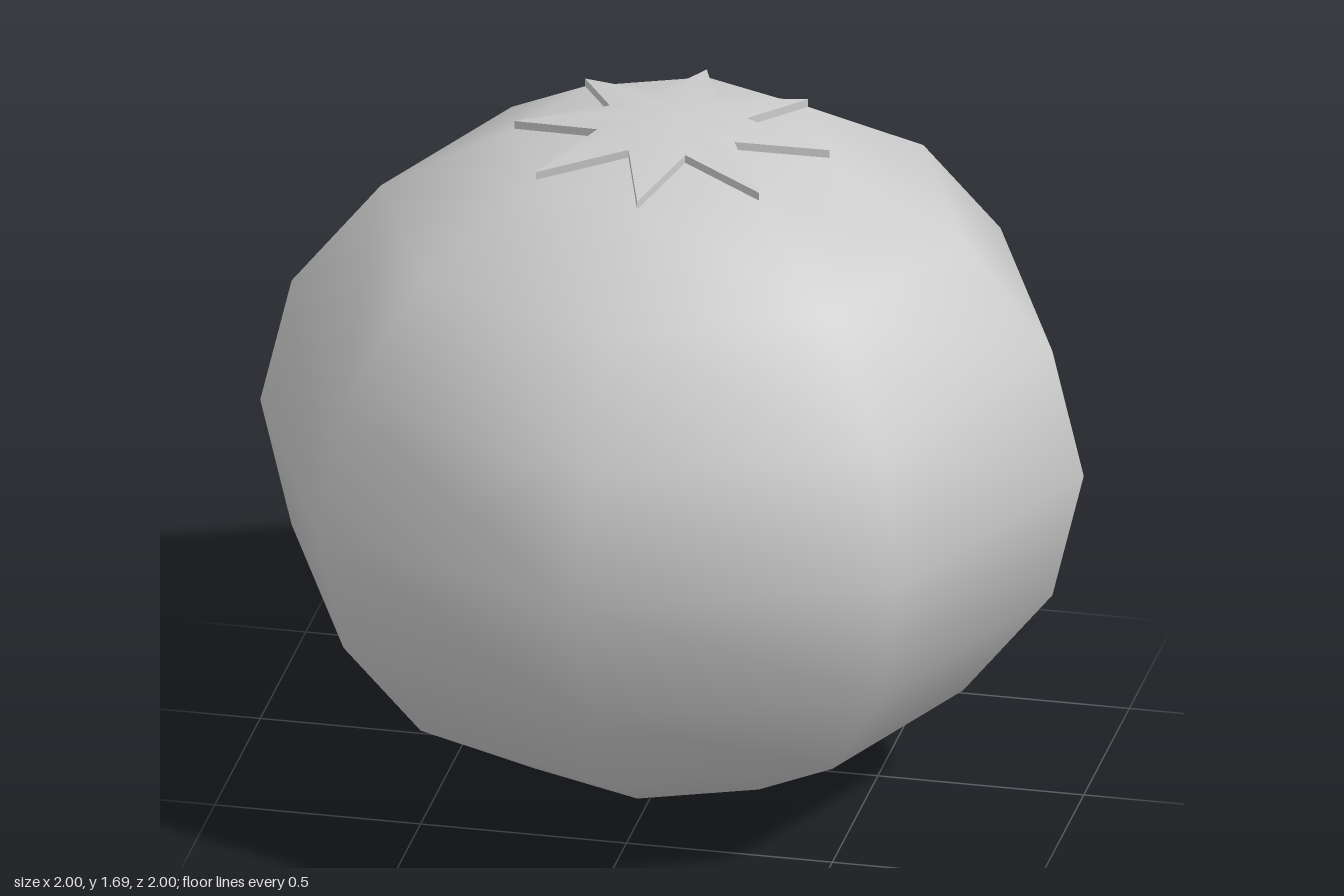
import * as THREE from 'three';

const RY = 0.833;            // half height of the body
const SIDES = 8;
const THICK = 0.02;          // thickness of the leaf star

const grey = () => new THREE.MeshStandardMaterial({ color: 0xcccccc, side: THREE.DoubleSide });

// Point of the star, lying on the body's faceted top cap
function starPoint(i, lift) {
  const outer = i % 2 === 0;
  const r = outer ? 0.383 : 0.18;
  const a = (i * Math.PI) / SIDES;
  const capRadius = outer ? 0.3827 : 0.3827 * Math.cos(Math.PI / SIDES);
  const drop = RY * (1 - Math.cos(Math.PI / SIDES)) * (r / capRadius);
  return [r * Math.cos(a), 2 * RY - drop + lift, -r * Math.sin(a)];
}

function meshFrom(name, positions, index) {
  const geo = new THREE.BufferGeometry();
  geo.setAttribute('position', new THREE.Float32BufferAttribute(positions, 3));
  if (index) geo.setIndex(index);
  geo.computeVertexNormals();
  const mesh = new THREE.Mesh(geo, grey());
  mesh.name = name;
  return mesh;
}

function createStar() {
  const n = SIDES * 2;
  const top = [0, 2 * RY + THICK, 0], fan = [], rim = [];
  for (let i = 0; i < n; i++) {
    const j = (i + 1) % n;
    top.push(...starPoint(i, THICK));
    fan.push(0, i + 1, j + 1);
    // Flat rim wall between neighbouring points
    const a = starPoint(i, 0), b = starPoint(j, 0);
    const c = starPoint(j, THICK), d = starPoint(i, THICK);
    rim.push(...a, ...b, ...c, ...a, ...c, ...d);
  }
  const star = new THREE.Group();
  star.name = 'leafStar';
  star.add(meshFrom('leafTop', top, fan), meshFrom('leafRim', rim));
  return star;
}

export function createModel() {
  const model = new THREE.Group();
  model.name = 'fruit';

  // Squashed low-sided round body with smooth normals
  const bodyGeo = new THREE.SphereGeometry(1, SIDES, 8);
  bodyGeo.scale(1, RY, 1).translate(0, RY, 0);
  const body = new THREE.Mesh(bodyGeo, grey());
  body.name = 'body';

  model.add(body, createStar());
  return model;
}
